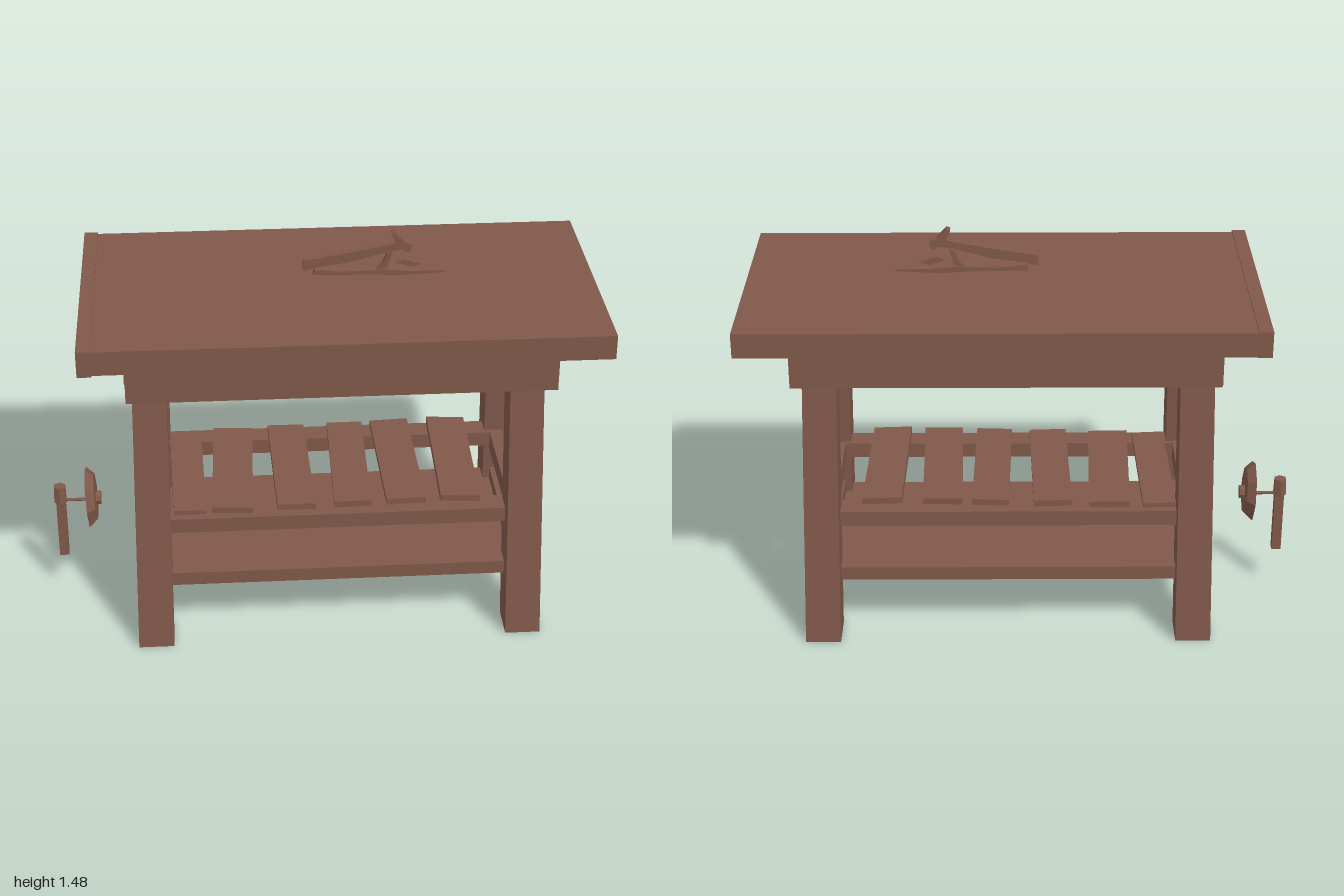
import * as THREE from 'three';

export function createModel() {
  const root = new THREE.Group();
  root.name = 'workbench';
  const wood = new THREE.MeshStandardMaterial({ color: 0x80584a, flatShading: true });
  wood.name = 'brown wood';

  function add(name, geometry, parent = root) {
    const mesh = new THREE.Mesh(geometry, wood);
    mesh.name = name;
    parent.add(mesh);
    return mesh;
  }
  // box given by its limits on each axis
  function block(name, x0, x1, y0, y1, z0, z1, parent = root) {
    const mesh = add(name, new THREE.BoxGeometry(x1 - x0, y1 - y0, z1 - z0), parent);
    mesh.position.set((x0 + x1) / 2, (y0 + y1) / 2, (z0 + z1) / 2);
    return mesh;
  }
  // flat outline in the xy plane, thickened around z = 0
  function outline(name, points, depth, parent) {
    const shape = new THREE.Shape(points.map(([x, y]) => new THREE.Vector2(x, y)));
    const geo = new THREE.ExtrudeGeometry(shape, { depth, bevelEnabled: false });
    geo.translate(0, 0, -depth / 2);
    return add(name, geo, parent);
  }

  // table top with its end cap
  block('tableTop', -0.8, 1, 1.19, 1.28, -0.475, 0.465);
  block('topEndCap', -0.848, -0.798, 1.188, 1.285, -0.478, 0.472);

  // apron frame, open underneath
  for (const s of [-1, 1]) {
    const a = s * 0.345, b = s * 0.42;
    block('sideApron', -0.69, 0.815, 1.05, 1.19, Math.min(a, b), Math.max(a, b));
  }
  block('leftApron', -0.688, -0.645, 1.05, 1.19, -0.345, 0.345);
  block('rightApron', 0.77, 0.813, 1.05, 1.19, -0.345, 0.345);

  // tenon plates and pegs on the apron ends
  for (const z of [0.295, -0.295]) {
    block('tenon', 0.81, 0.822, 1.065, 1.18, z - 0.02, z + 0.02);
    block('tenon', -0.697, -0.685, 1.065, 1.18, z - 0.02, z + 0.02);
    const peg = add('peg', new THREE.CylinderGeometry(0.01, 0.012, 0.02, 6));
    peg.rotation.z = -Math.PI / 2;
    peg.position.set(0.825, 1.12, z);
  }

  // splayed legs: the upper corners lean toward the middle
  const height = 1.19;
  for (const [x, lean] of [[-0.625, 0.017], [0.745, -0.028]]) {
    for (const s of [-1, 1]) {
      const geo = new THREE.BoxGeometry(0.13, height, 0.138);
      geo.translate(0, height / 2, 0);
      const p = geo.attributes.position;
      for (let i = 0; i < p.count; i++) {
        if (p.getY(i) > 0.5) {
          p.setX(i, p.getX(i) * 0.92 + lean);
          p.setZ(i, p.getZ(i) * 0.95 - s * 0.075);
        }
      }
      add('leg', geo).position.set(x, 0, s * 0.341);
    }
  }

  // lower shelf and its end rails
  block('lowerShelf', -0.64, 0.745, 0.22, 0.272, -0.33, 0.33);
  block('lowerEndRail', -0.66, -0.585, 0.22, 0.32, -0.3, 0.3);
  block('lowerEndRail', 0.7, 0.775, 0.22, 0.32, -0.3, 0.3);

  // upper shelf frame
  for (const z of [-0.27, 0.27]) block('upperRail', -0.6, 0.71, 0.44, 0.498, z - 0.045, z + 0.045);
  block('upperEndRail', -0.65, -0.58, 0.43, 0.5, -0.28, 0.28);
  block('upperEndRail', 0.69, 0.76, 0.43, 0.5, -0.28, 0.28);

  // loose slats: left, right, height, tilt, turn
  const slats = [
    [-0.55, -0.43, 0.503, -0.03, 0.02], [-0.395, -0.245, 0.51, -0.03, -0.03],
    [-0.17, -0.03, 0.516, -0.02, 0.02], [0.05, 0.185, 0.52, 0.02, -0.02],
    [0.23, 0.375, 0.525, 0.02, 0.02], [0.44, 0.585, 0.528, -0.04, -0.02],
  ];
  for (const [a, b, y, tilt, turn] of slats) {
    const slat = block('slat', a, b, y - 0.012, y + 0.012, -0.285, 0.285);
    slat.rotation.set(0, turn, tilt);
  }

  // hammer above the table
  const tools = new THREE.Group();
  tools.name = 'tableTools';
  root.add(tools);
  outline('hammerHandle', [[-0.053, 1.34], [0, 1.352], [0.12, 1.37], [0.27, 1.41], [0.28, 1.437],
    [0.12, 1.407], [0, 1.387], [-0.05, 1.38]], 0.026, tools);
  outline('hammerHead', [[0.26, 1.408], [0.3, 1.415], [0.33, 1.402], [0.338, 1.435], [0.31, 1.443],
    [0.275, 1.48], [0.262, 1.475], [0.28, 1.435]], 0.036, tools);
  // knife and shavings
  outline('knife', [[-0.015, 1.322], [0.2, 1.318], [0.3, 1.312], [0.46, 1.32], [0.46, 1.326],
    [0.33, 1.328], [0.25, 1.336], [0.1, 1.332], [-0.01, 1.342]], 0.028, tools);
  outline('shaving', [[0.21, 1.332], [0.25, 1.34], [0.268, 1.405], [0.25, 1.395], [0.235, 1.36]], 0.02, tools);
  outline('shaving', [[0.28, 1.36], [0.34, 1.342], [0.375, 1.352], [0.31, 1.372]], 0.02, tools);

  // vise plate with its screw and hanging handle
  const vise = new THREE.Group();
  vise.name = 'vise';
  root.add(vise);
  const plate = add('visePlate', new THREE.CylinderGeometry(0.09, 0.118, 0.03, 8), vise);
  plate.rotation.set(0, 0, -Math.PI / 2 + 0.06);
  plate.position.set(-0.855, 0.41, 0);
  const screw = add('viseScrew', new THREE.CylinderGeometry(0.006, 0.006, 0.14, 6), vise);
  screw.rotation.z = Math.PI / 2;
  screw.position.set(-0.9, 0.4, 0);
  const hub = add('viseHub', new THREE.CylinderGeometry(0.026, 0.026, 0.03, 8), vise);
  hub.rotation.z = Math.PI / 2;
  hub.position.set(-0.835, 0.405, 0);
  block('viseHandle', -0.99, -0.955, 0.16, 0.42, -0.016, 0.016, vise);
  const knob = add('viseKnob', new THREE.CylinderGeometry(0.024, 0.026, 0.065, 6), vise);
  knob.position.set(-0.974, 0.43, 0);

  return root;
}
